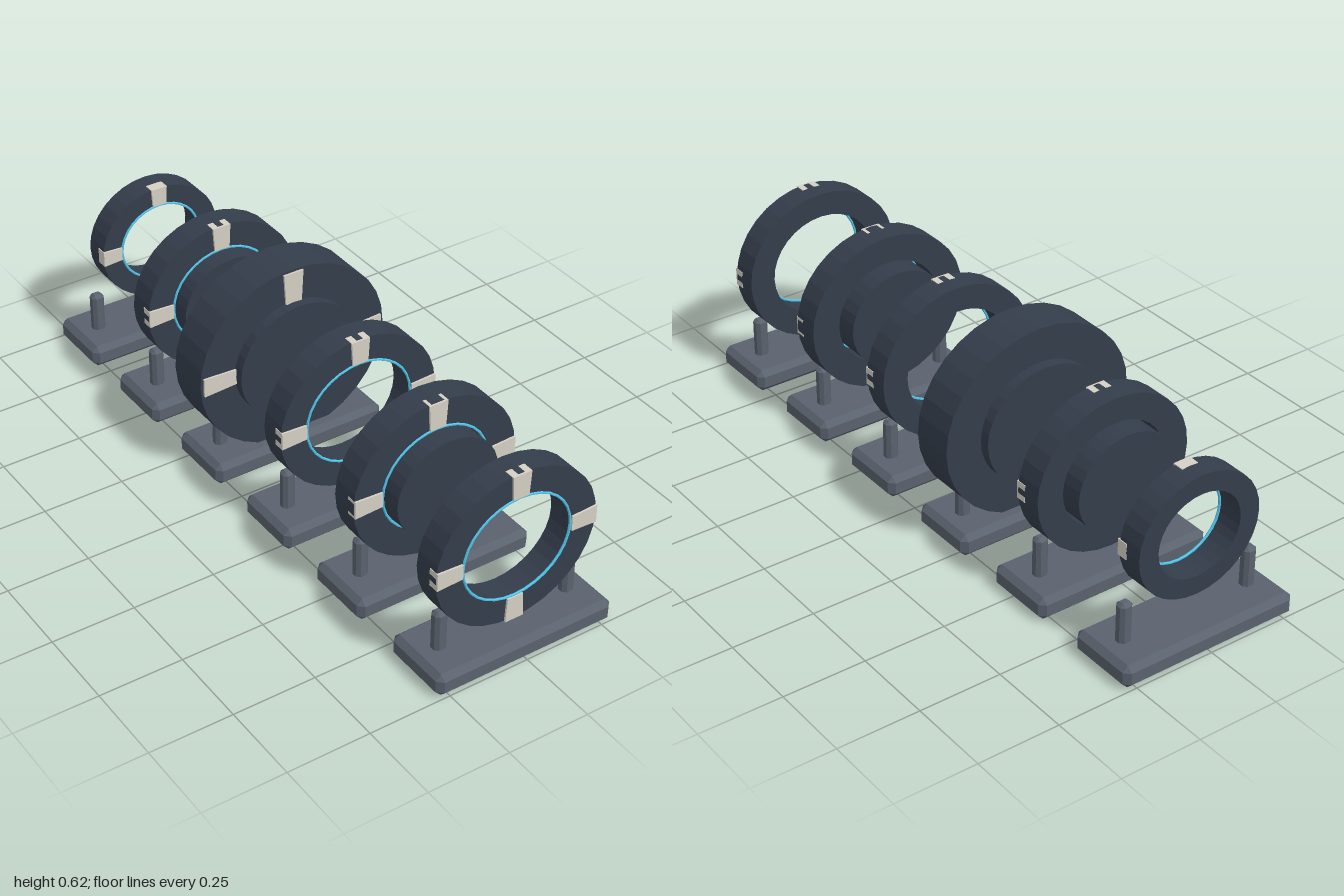
import * as THREE from 'three';
import { ConvexGeometry } from 'three/addons/geometries/ConvexGeometry.js';

const SIDES = 32;
const CENTRE_Y = 0.333;
const SQUASH = 0.925; // rings are slightly lower than wide

const mat = (color) => new THREE.MeshStandardMaterial({ color, flatShading: true });
const darkMat = mat(0x343d4b);
const standMat = mat(0x5a626e);
const paleMat = mat(0xd4d0c4);
const glowMat = mat(0x4fc3e8);

function part(name, geometry, material, x = 0, y = 0, z = 0) {
  const mesh = new THREE.Mesh(geometry, material);
  mesh.name = name;
  mesh.position.set(x, y, z);
  return mesh;
}

// Box with every edge cut at 45 degrees
function chamferedBox(w, h, d, c) {
  const points = [];
  for (const sx of [-0.5, 0.5]) for (const sy of [-0.5, 0.5]) for (const sz of [-0.5, 0.5]) {
    const [x, y, z] = [sx * w, sy * h, sz * d];
    const [ix, iy, iz] = [x - 2 * sx * c, y - 2 * sy * c, z - 2 * sz * c];
    points.push(new THREE.Vector3(x, iy, iz), new THREE.Vector3(ix, y, iz), new THREE.Vector3(ix, iy, z));
  }
  return new ConvexGeometry(points);
}

// Square-section ring around the z axis
function ringGeometry(inner, outer, depth) {
  const h = depth / 2;
  const profile = [[inner, -h], [outer, -h], [outer, h], [inner, h], [inner, -h]]
    .map(([r, y]) => new THREE.Vector2(r, y));
  return new THREE.LatheGeometry(profile, SIDES).rotateX(Math.PI / 2);
}

// Tapered plate, wider at the rim
function markerGeometry(inner, outer, depth) {
  const half = (r) => 0.025 + 0.056 * (r - 0.175);
  const a = half(inner), b = half(outer);
  const shape = new THREE.Shape([
    new THREE.Vector2(-a, inner), new THREE.Vector2(a, inner),
    new THREE.Vector2(b, outer), new THREE.Vector2(-b, outer),
  ]);
  return new THREE.ExtrudeGeometry(shape, { depth, bevelEnabled: false });
}

function createStand() {
  const stand = new THREE.Group();
  stand.name = 'stand';
  stand.add(part('base', chamferedBox(0.57, 0.07, 0.22, 0.017), standMat, 0, 0.035, 0));
  for (const side of [-1, 1]) {
    stand.add(part('post', chamferedBox(0.04, 0.14, 0.036, 0.01), standMat, side * 0.21, 0.122, 0));
  }
  return stand;
}

function createRing({ inner, outer, depth, hub, markerOuter, glow = true }) {
  const ring = new THREE.Group();
  ring.name = 'ring';
  ring.position.y = CENTRE_Y;
  ring.scale.y = SQUASH;
  const front = depth / 2;
  ring.add(part('ringBody', ringGeometry(inner, outer, depth), darkMat));
  if (hub) {
    const hubGeometry = new THREE.CylinderGeometry(hub, hub, 0.2, SIDES).rotateX(Math.PI / 2);
    ring.add(part('hub', hubGeometry, darkMat));
  }
  if (glow) {
    ring.add(part('glowBand', new THREE.TorusGeometry(inner - 0.003, 0.004, 6, SIDES), glowMat, 0, 0, front));
  }
  // Four plates let into the front face
  const marker = markerGeometry(inner, markerOuter, 0.034);
  for (let i = 0; i < 4; i++) {
    const plate = part('marker', marker, paleMat, 0, 0, front - 0.028);
    plate.rotation.z = i * Math.PI / 2;
    ring.add(plate);
  }
  return ring;
}

export function createModel() {
  const model = new THREE.Group();
  model.name = 'ringDisplay';
  // Front to back
  const rings = [
    { inner: 0.175, outer: 0.257, depth: 0.082, markerOuter: 0.256 },
    { inner: 0.174, outer: 0.264, depth: 0.085, hub: 0.164, markerOuter: 0.262 },
    { inner: 0.175, outer: 0.257, depth: 0.082, markerOuter: 0.256 },
    { inner: 0.194, outer: 0.31, depth: 0.135, hub: 0.196, markerOuter: 0.3, glow: false },
    { inner: 0.17, outer: 0.253, depth: 0.085, hub: 0.162, markerOuter: 0.252 },
    { inner: 0.137, outer: 0.2, depth: 0.08, markerOuter: 0.2 },
  ];
  rings.forEach((spec, i) => {
    const exhibit = new THREE.Group();
    exhibit.name = 'exhibit';
    exhibit.position.z = 0.89 - i * 0.356;
    exhibit.add(createStand(), createRing(spec));
    model.add(exhibit);
  });
  return model;
}
